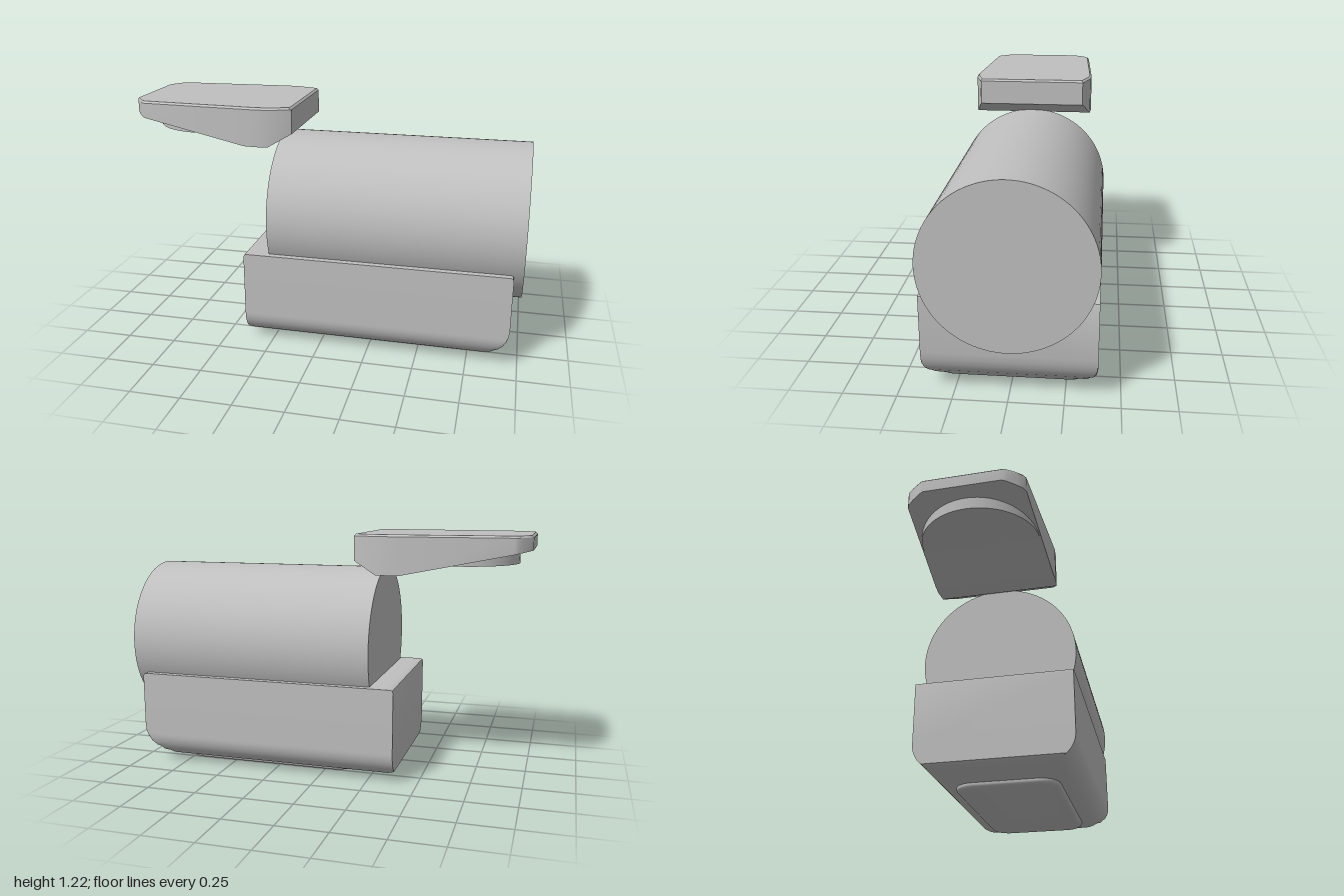
import * as THREE from 'three';
import { toCreasedNormals } from 'three/addons/utils/BufferGeometryUtils.js';

// Closed solid through convex rings of [x, y, z], ordered along +x
function loft(rings) {
  const n = rings[0].length, idx = [];
  for (let i = 0; i < rings.length - 1; i++) {
    for (let j = 0; j < n; j++) {
      const a = i * n + j, b = i * n + (j + 1) % n;
      idx.push(a, b, a + n, b, b + n, a + n);
    }
  }
  const last = (rings.length - 1) * n;
  for (let j = 1; j < n - 1; j++) {
    idx.push(0, j + 1, j);
    idx.push(last, last + j, last + j + 1);
  }
  const g = new THREE.BufferGeometry();
  g.setAttribute('position', new THREE.Float32BufferAttribute(rings.flat(2), 3));
  g.setIndex(idx);
  return toCreasedNormals(g, 0.5);
}

// Mirrors a +z half section ([z, y], top to bottom) into a full ring at x
function ring(x, half) {
  const left = half.map(([z, y]) => [x, y, z]);
  const right = half.map(([z, y]) => [x, y, -z]).reverse();
  return [...left, ...right];
}

function roundedRect(w, h, r) {
  const s = new THREE.Shape();
  s.absarc(w / 2 - r, h / 2 - r, r, 0, Math.PI / 2);
  s.absarc(-w / 2 + r, h / 2 - r, r, Math.PI / 2, Math.PI);
  s.absarc(-w / 2 + r, -h / 2 + r, r, Math.PI, Math.PI * 1.5);
  s.absarc(w / 2 - r, -h / 2 + r, r, Math.PI * 1.5, Math.PI * 2);
  s.closePath();
  return s;
}

export function createModel() {
  const group = new THREE.Group();
  const grey = new THREE.MeshStandardMaterial({ color: 0xbfbfbf });
  grey.name = 'plain grey';

  const add = (name, geometry, x = 0, y = 0) => {
    const mesh = new THREE.Mesh(geometry, grey);
    mesh.name = name;
    mesh.position.set(x, y, 0);
    group.add(mesh);
    return mesh;
  };

  // Base: rounded lower long edges, trimmed at both ends ([x, bottom, top])
  const R = 0.13, half = [[0.395, 0.48]];
  for (let i = 0; i <= 16; i++) {
    const a = (i / 16) * Math.PI / 2;
    half.push([0.265 + R * Math.cos(a), 0.155 - R * Math.sin(a)]);
  }
  const stations = [
    [-0.385, 0.055, 0.465], [-0.381, 0.051, 0.476], [-0.37, 0.045, 0.48],
    [-0.345, 0.034, 0.48], [-0.305, 0.025, 0.48], [0.83, 0.025, 0.48],
    [0.87, 0.058, 0.48], [0.905, 0.088, 0.48], [0.925, 0.111, 0.48],
    [0.94, 0.138, 0.48], [0.951, 0.17, 0.476], [0.955, 0.205, 0.465],
  ];
  add('base', loft(stations.map(([x, lo, hi]) =>
    ring(x, half.map(([z, y]) => [z, Math.min(hi, Math.max(lo, y))])))));

  // Foot pad under the base
  const pad = new THREE.ExtrudeGeometry(roundedRect(0.89, 0.49, 0.08), {
    depth: 0.02, bevelThickness: 0.02, bevelSize: 0.02, bevelSegments: 5, curveSegments: 10,
  });
  pad.rotateX(Math.PI / 2);
  add('footPad', toCreasedNormals(pad, 0.6), 0.32, 0.04);

  // Horizontal drum resting in the base
  const drum = new THREE.CylinderGeometry(0.395, 0.395, 1.26, 96);
  drum.rotateZ(Math.PI / 2);
  add('drum', drum, 0.37, 0.64);

  // Top plate: [x, half width, underside height]
  const T = 1.215, B = 0.01;
  const plate = [
    [-1, 0.185, 1.145], [-0.99, 0.205, 1.143], [-0.96, 0.247, 1.137],
    [-0.935, 0.275, 1.132], [-0.92, 0.283, 1.129], [-0.39, 0.31, 1.021],
    [-0.33, 0.313, 1.02], [-0.27, 0.308, 1.02], [-0.165, 0.276, 1.08], [-0.155, 0.27, 1.085],
  ];
  add('topPlate', loft(plate.map(([x, w, y], i) => {
    const end = i === 0 || i === plate.length - 1;
    return ring(x, [[w - B, end ? T - B : T], [w, T - B], [w, y]]);
  })));

  // Disc under the plate
  add('plateDisc', new THREE.CylinderGeometry(0.29, 0.29, 0.1, 64), -0.64, 1.12);

  return group;
}
